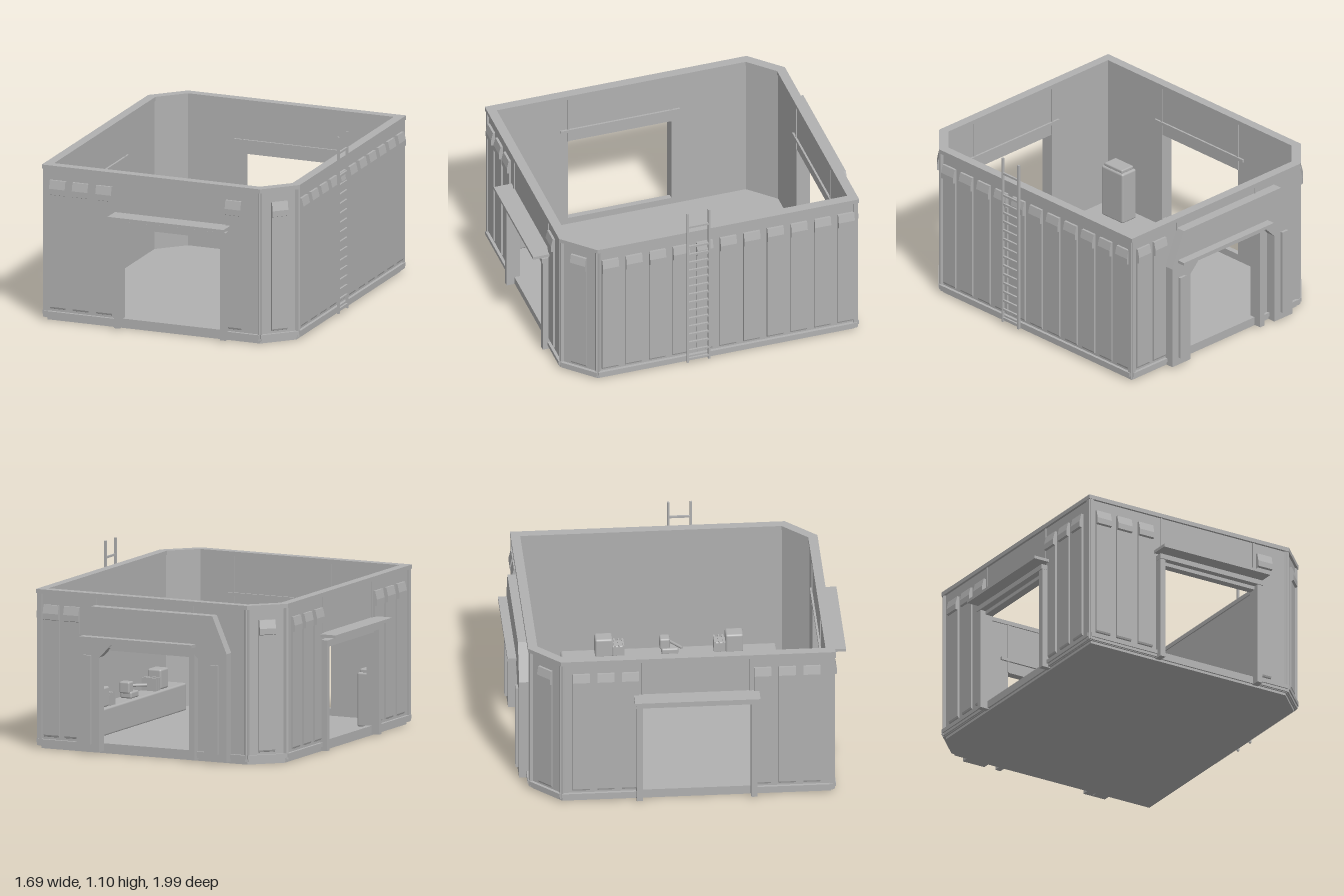
import * as THREE from 'three';
import { RoundedBoxGeometry } from 'three/addons/geometries/RoundedBoxGeometry.js';

const grey = new THREE.MeshStandardMaterial({ color: 0xb0b0b0 });
grey.name = 'plain grey';

function add(parent, name, geometry) {
  const mesh = new THREE.Mesh(geometry, grey);
  mesh.name = name;
  parent.add(mesh);
  return mesh;
}

// Box given by its limits on each axis
function box(parent, name, x0, x1, y0, y1, z0, z1, radius = 0) {
  const size = [x1 - x0, y1 - y0, z1 - z0];
  const geometry = radius ? new RoundedBoxGeometry(...size, 2, radius) : new THREE.BoxGeometry(...size);
  const mesh = add(parent, name, geometry);
  mesh.position.set((x0 + x1) / 2, (y0 + y1) / 2, (z0 + z1) / 2);
  return mesh;
}

const shapeOf = (points) => new THREE.Shape(points.map(([x, y]) => new THREE.Vector2(x, y)));
const pathOf = (points) => new THREE.Path(points.map(([x, y]) => new THREE.Vector2(x, y)));
const extrude = (shape, depth) => new THREE.ExtrudeGeometry(shape, { depth, bevelEnabled: false });

const CX = 0.035, HX = 0.77, HZ = 0.885, CUT = 0.17, THICK = 0.033;

// Footprint with two opposite corners cut off, grown by an offset
function footprint(o) {
  const x = HX + o, z = HZ + o, c = CUT + o * 0.586;
  return [[-x, -z], [x - c, -z], [x, -z + c], [x, z], [-x + c, z], [-x, z - c]];
}

// Flat slab or ring lying on the footprint
function layer(parent, name, outer, inner, y0, y1) {
  const shape = shapeOf(footprint(outer));
  if (inner !== null) shape.holes.push(pathOf(footprint(inner).reverse()));
  const mesh = add(parent, name, extrude(shape, y1 - y0));
  mesh.rotation.x = -Math.PI / 2;
  mesh.position.set(CX, y0, 0);
}

// Raised wall panel with a hood at its top
function panel(parent, x, dist) {
  const w = 0.1;
  const profile = shapeOf([[-0.005, 0.07], [0.008, 0.075], [0.012, 0.085], [0.012, 0.77],
    [0.026, 0.775], [0.026, 0.81], [0.014, 0.86], [-0.005, 0.86]]);
  const mesh = add(parent, 'wallPanel', extrude(profile, w));
  mesh.rotation.y = -Math.PI / 2;
  mesh.position.set(x + w / 2, 0, dist);
}

// Door posts, lintel, canopy, sill and wall seams
function doorway(parent, c, d) {
  for (const s of [-1, 1]) {
    const p = c + s * 0.338, seam = c + s * 0.32;
    box(parent, 'doorPost', p - 0.018, p + 0.018, 0.01, 0.645, d - 0.01, d + 0.048);
    box(parent, 'wallSeam', seam - 0.006, seam + 0.006, 0.62, 0.94, d - THICK - 0.006, d + 0.006);
  }
  box(parent, 'doorLintel', c - 0.358, c + 0.358, 0.64, 0.67, d - 0.01, d + 0.054);
  box(parent, 'doorHead', c - 0.32, c + 0.32, 0.618, 0.64, d - THICK, d + 0.015);
  box(parent, 'doorCanopy', c - 0.37, c + 0.37, 0.688, 0.706, d - 0.045, d + 0.112);
}

// One wall in its own frame: x along the wall, z outward
function wall(parent, name, angle, dist, a, b, panels, door) {
  const g = new THREE.Group();
  g.name = name;
  g.position.x = CX;
  g.rotation.y = angle;
  parent.add(g);
  const shape = shapeOf([[a, 0.015], [b, 0.015], [b, 0.94], [a, 0.94]]);
  let rails = [[a, b]];
  if (door !== undefined) {
    const l = door - 0.32, r = door + 0.32;
    shape.holes.push(pathOf([[l, 0.06], [l, 0.62], [r, 0.62], [r, 0.06]]));
    rails = [[a, l - 0.03], [r + 0.03, b]];
    doorway(g, door, dist);
  }
  add(g, 'wallPlate', extrude(shape, THICK)).position.z = dist - THICK;
  for (const [x0, x1] of rails) {
    box(g, 'bottomRail', x0, x1, 0.018, 0.034, dist - 0.01, dist + 0.01);
    box(g, 'bottomRail', x0, x1, 0.034, 0.058, dist - 0.01, dist + 0.018);
  }
  for (const x of [a, b]) box(g, 'cornerTrim', x - 0.012, x + 0.012, 0.02, 0.945, dist - 0.02, dist + 0.006);
  for (const x of panels) panel(g, x, dist);
  return g;
}

export function createModel() {
  const model = new THREE.Group();
  model.name = 'building';

  layer(model, 'floor', -0.01, null, 0, 0.018);
  layer(model, 'topRail', 0.015, -THICK - 0.008, 0.925, 0.95);

  // Walls, with the cut corners between them
  const PI = Math.PI;
  wall(model, 'frontWall', 0, HZ, -HX, HX - CUT, [-0.685, -0.54, -0.39, 0.435], 0.045);
  const back = wall(model, 'backWall', PI, HZ, -HX, HX - CUT, [-0.685, -0.55], -0.08);
  wall(model, 'rightSideWall', -PI / 2, HX, -HZ + CUT, HZ, [-0.6, -0.455, -0.31, 0.47, 0.615, 0.76], 0.08);
  const ribs = Array.from({ length: 11 }, (_, i) => -0.64 + 0.146 * i);
  wall(model, 'leftSideWall', PI / 2, HX, -HZ + CUT, HZ, ribs);
  for (const turn of [PI / 4, PI * 5 / 4]) {
    const d = (HX + HZ - CUT) / Math.SQRT2, m = (HX - HZ) / Math.SQRT2, h = CUT / Math.SQRT2;
    wall(model, 'cutCornerWall', turn, d, m - h, m + h, [m]);
  }

  // Heavy portal around the back door
  const portal = shapeOf([[-0.495, 0.015], [-0.345, 0.015], [-0.345, 0.58], [-0.265, 0.66],
    [0.265, 0.66], [0.345, 0.58], [0.345, 0.015], [0.495, 0.015],
    [0.495, 0.66], [0.4, 0.88], [-0.4, 0.88], [-0.495, 0.66]]);
  add(back, 'portalFrame', extrude(portal, 0.06)).position.z = HZ;
  for (const x of [-0.42, 0.42]) {
    box(back, 'portalRib', x - 0.024, x + 0.024, 0.06, 0.59, HZ + 0.05, HZ + 0.076);
  }

  // Ladder
  const ladder = new THREE.Group();
  ladder.name = 'ladder';
  model.add(ladder);
  for (const z of [0.035, 0.168]) box(ladder, 'ladderRail', 0.828, 0.842, 0.02, 1.1, z - 0.006, z + 0.006);
  const rungs = Array.from({ length: 15 }, (_, i) => 0.045 + 0.058 * i).concat(1.0);
  for (const y of rungs) box(ladder, 'ladderRung', 0.829, 0.841, y - 0.006, y + 0.006, 0.035, 0.168);

  // Workbench and the things on it
  const bench = new THREE.Group();
  bench.name = 'workbench';
  model.add(bench);
  box(bench, 'benchBody', 0.615, 0.738, 0.015, 0.18, -0.61, 0.66, 0.012);
  for (const [z, s] of [[-0.36, 1], [0.41, -1]]) {
    box(bench, 'machineBody', 0.632, 0.722, 0.18, 0.3, z - 0.052, z + 0.052, 0.012);
    const n = z + s * 0.085;
    box(bench, 'machineNose', 0.638, 0.716, 0.18, 0.25, n - 0.035, n + 0.035, 0.008);
    for (const k of [-0.02, 0.005, 0.03]) {
      box(bench, 'machineFin', 0.63, 0.724, 0.18, 0.257, n + k * s - 0.005, n + k * s + 0.005);
    }
  }
  box(bench, 'viseBase', 0.635, 0.71, 0.18, 0.22, -0.02, 0.08, 0.01);
  box(bench, 'viseJaw', 0.645, 0.712, 0.21, 0.28, -0.03, 0.03, 0.01);
  const handle = add(bench, 'viseHandle', new THREE.CylinderGeometry(0.009, 0.009, 0.12, 10));
  handle.position.set(0.64, 0.25, 0.06);
  handle.rotation.set(PI / 2, 0, 0.9);

  // Free-standing cabinet in the corner
  box(model, 'cabinetBody', -0.665, -0.55, 0.015, 0.34, 0.575, 0.755, 0.012);
  box(model, 'cabinetLid', -0.655, -0.56, 0.335, 0.36, 0.59, 0.74, 0.008);

  return model;
}
